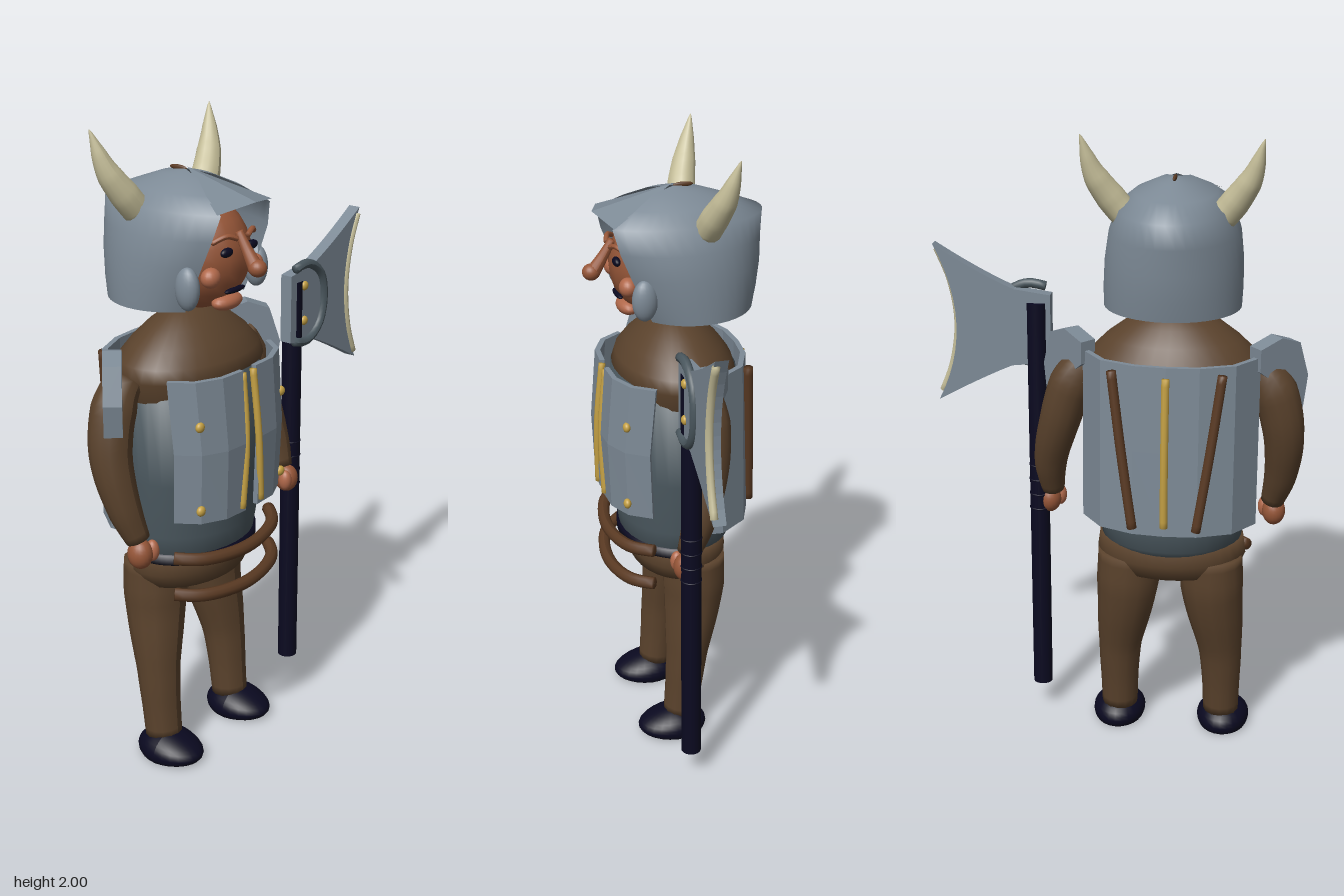
import * as THREE from 'three';

const mat = (name, color, extra = {}) => Object.assign(new THREE.MeshStandardMaterial({ color, ...extra }), { name });
const V = (x, y, z) => new THREE.Vector3(x, y, z);

export function createModel() {
  const model = new THREE.Group();
  model.name = 'axeWarrior';
  const body = new THREE.Group();
  body.name = 'warrior';
  body.position.x = -0.18;
  model.add(body);

  const steel = mat('steel', 0x7d8a96, { side: THREE.DoubleSide });
  const darkSteel = mat('darkSteel', 0x4a575e);
  const cloth = mat('brownCloth', 0x5a422c);
  const leather = mat('leather', 0x5a3a23);
  const skin = mat('skin', 0x965638);
  const rosy = mat('rosySkin', 0xb0684a);
  const horn = mat('horn', 0xc4bd98);
  const gold = mat('gold', 0xc5a144);
  const black = mat('black', 0x0a0920);

  const add = (name, geo, m, parent = body) => {
    const mesh = new THREE.Mesh(geo, m);
    mesh.name = name;
    parent.add(mesh);
    return mesh;
  };
  const ball = (name, m, p, r, parent = body) => {
    const mesh = add(name, new THREE.SphereGeometry(1, 20, 14), m, parent);
    mesh.position.set(...p);
    mesh.scale.set(...r);
    return mesh;
  };
  // Round limb along a curve, radius interpolated along its length, ends closed
  const limb = (name, m, pts, radii, parent = body, n = 24, sides = 14) => {
    const curve = new THREE.CatmullRomCurve3(pts.map((p) => V(...p)));
    const geo = new THREE.TubeGeometry(curve, n, 1, sides);
    const pos = geo.attributes.position, v = V(0, 0, 0);
    for (let i = 0; i < pos.count; i++) {
      const ring = Math.floor(i / (sides + 1));
      const c = curve.getPointAt(ring / n);
      const f = (ring / n) * (radii.length - 1), k = Math.min(Math.floor(f), radii.length - 2);
      const r = ring === 0 || ring === n ? 0.0005 : THREE.MathUtils.lerp(radii[k], radii[k + 1], f - k);
      v.fromBufferAttribute(pos, i).sub(c).multiplyScalar(r);
      // Flat end caps, except on pointed limbs
      if (ring === 0) c.copy(curve.getPointAt(1 / n));
      if (ring === n && radii.at(-1) > 0.01) c.copy(curve.getPointAt(1 - 1 / n));
      v.add(c);
      pos.setXYZ(i, v.x, v.y, v.z);
    }
    geo.computeVertexNormals();
    return add(name, geo, m, parent);
  };
  const tube = (name, m, pts, r, parent) => limb(name, m, pts, [r, r], parent, 24, 10);
  const lathe = (name, m, pts, depth, start = 0, sweep = Math.PI * 2) => {
    const mesh = add(name, new THREE.LatheGeometry(pts.map((p) => new THREE.Vector2(...p)), 32, start, sweep), m);
    mesh.scale.z = depth;
    return mesh;
  };
  const shape = (pts) => new THREE.Shape(pts.map((p) => new THREE.Vector2(...p)));
  // Upright plate bent round the body from [x, z] points; warp(p, t) leans it from bottom (0) to top (1)
  const bentPlate = (outline, y0, y1, warp) => {
    const inner = outline.map(([x, z]) => [x * 0.94, z * 0.93]).reverse();
    const geo = new THREE.ExtrudeGeometry(shape([...outline, ...inner].map(([x, z]) => [x, -z])),
      { depth: y1 - y0, steps: 2, bevelEnabled: false }).rotateX(-Math.PI / 2).translate(0, y0, 0);
    const pos = geo.attributes.position, p = V(0, 0, 0);
    for (let i = 0; i < pos.count; i++) {
      p.fromBufferAttribute(pos, i);
      warp(p, (p.y - y0) / (y1 - y0));
      pos.setXYZ(i, p.x, p.y, p.z);
    }
    geo.computeVertexNormals();
    return geo;
  };

  // Trunk
  lathe('shoulders', cloth, [[0.24, 1.2], [0.272, 1.28], [0.255, 1.32], [0.21, 1.365], [0.15, 1.41], [0.08, 1.45], [0, 1.465]], 0.7);
  lathe('cuirass', darkSteel, [[0, 0.68], [0.19, 0.68], [0.222, 0.71], [0.235, 0.78], [0.24, 0.95], [0.245, 1.28], [0, 1.29]], 0.8);
  lathe('hips', cloth, [[0, 0.56], [0.12, 0.57], [0.21, 0.6], [0.238, 0.65], [0.23, 0.71], [0, 0.72]], 0.68);
  lathe('waistBand', black, [[0.2, 0.685], [0.232, 0.69], [0.232, 0.72], [0.2, 0.725]], 0.8, -1.4, 2.8);
  for (const y of [0.735, 0.615]) {
    tube('beltBar', leather, [[-0.25, y + 0.005, 0.11], [-0.17, y - 0.005, 0.19], [0, y - 0.014, 0.226],
      [0.17, y - 0.005, 0.19], [0.25, y + 0.005, 0.11]], 0.02);
  }

  // Back plate with gold spine; its front edges slope back towards the top
  add('backPlate', bentPlate([[0.265, 0], [0.272, -0.09], [0.205, -0.18], [0.1, -0.222], [0, -0.23],
    [-0.1, -0.222], [-0.205, -0.18], [-0.272, -0.09], [-0.265, 0]], 0.79, 1.33, (p, t) => {
    p.z += p.z > -0.05 ? -0.075 * t : 0.012 * t;
  }), steel);
  tube('backSpine', gold, [[0, 1.32, -0.225], [0, 1.05, -0.238], [0, 0.8, -0.234]], 0.012);

  for (const s of [1, -1]) {
    const side = s > 0 ? 'left' : 'right';
    // Breast plate, bulging at mid height and narrower below
    add(side + 'BreastPlate', bentPlate([[0.03 * s, 0.23], [0.12 * s, 0.225], [0.2 * s, 0.188], [0.248 * s, 0.12]], 0.855, 1.3, (p, t) => {
      p.z += 0.014 * Math.sin(Math.PI * t) + (1 - t) * 0.01;
      p.x *= 0.95 + 0.05 * t;
    }), steel);
    tube(side + 'BreastTrim', gold, [[0.024 * s, 1.31, 0.222], [0.03 * s, 1.08, 0.243], [0.046 * s, 0.85, 0.24]], 0.011);
    for (const [y, z] of [[1.165, 0.2], [0.9, 0.202]]) ball('plateRivet', gold, [0.195 * s, y, z], [0.016, 0.016, 0.012]);
    tube(side + 'BackStrap', leather, [[0.17 * s, 1.33, -0.197], [0.135 * s, 1.06, -0.214], [0.095 * s, 0.79, -0.23]], 0.015);

    // Pauldron: solid slanted slab
    const prof = [[0, 1.36], [0.08, 1.385], [0.15, 1.36], [0.185, 1.25], [0.17, 1.15],
      [0.135, 1.15], [0.1, 1.21], [0.04, 1.26], [0, 1.29]];
    const padGeo = new THREE.ExtrudeGeometry(shape(prof.map(([x, y]) => [x * s, y])), { depth: 0.055, bevelEnabled: false });
    const pad = add(side + 'Pauldron', padGeo.translate(0, 0, -0.0275), steel);
    pad.rotation.y = -0.72 * s;
    pad.position.set(0.255 * s, 0, -0.08);

    // Arm and hand; the left one reaches out to the axe
    const out = s > 0 ? 1 : 0;
    limb(side + 'Arm', cloth, [[0.25 * s, 1.3, -0.02], [0.305 * s, 1.23, -0.025], [(0.345 + 0.01 * out) * s, 1.08, -0.015],
      [(0.34 + 0.055 * out) * s, 0.92, 0.025], [(0.31 + 0.085 * out) * s, 0.79, 0.065]], [0.05, 0.07, 0.067, 0.06, 0.05, 0.034]);
    const hx = out ? 0.408 : 0.32;
    ball(side + 'Hand', skin, [hx * s, 0.77, 0.07], [0.037, 0.047, 0.04]);
    ball(side + 'Thumb', rosy, [(hx - 0.032) * s, 0.775, 0.09], [0.02, 0.034, 0.022]);

    // Leg and shoe
    limb(side + 'Leg', cloth, [[0.13 * s, 0.68, -0.035], [0.138 * s, 0.52, -0.03], [0.165 * s, 0.3, 0], [0.17 * s, 0.04, 0.025]],
      [0.1, 0.102, 0.088, 0.07, 0.062, 0.058]);
    const shoe = new THREE.SphereGeometry(1, 24, 16), sp = shoe.attributes.position;
    for (let i = 0; i < sp.count; i++) {
      const z = sp.getZ(i);
      sp.setY(i, Math.max(sp.getY(i), -0.4) * (1 - 0.35 * Math.max(z, 0)));
    }
    shoe.computeVertexNormals();
    const foot = add(side + 'Shoe', shoe, black);
    foot.scale.set(0.086, 0.062, 0.116);
    foot.position.set(0.175 * s, 0.025, 0.055);

    // Face halves
    ball(side + 'Eye', black, [0.058 * s, 1.655, 0.19], [0.025, 0.014, 0.012]);
    tube(side + 'Brow', skin, [[0.022 * s, 1.69, 0.202], [0.06 * s, 1.702, 0.19], [0.1 * s, 1.685, 0.165]], 0.008);
    ball(side + 'Cheek', rosy, [0.1 * s, 1.585, 0.165], [0.032, 0.03, 0.028]);

    // Helmet horn and cheek guard
    limb(side + 'Horn', horn, [[0.14 * s, 1.75, -0.07], [0.18 * s, 1.8, -0.08], [0.23 * s, 1.88, -0.105], [0.267 * s, 2.0, -0.135]],
      [0.044, 0.044, 0.037, 0.022, 0.002]);
    ball(side + 'CheekGuard', steel, [0.16 * s, 1.56, 0.128], [0.03, 0.065, 0.04]);
  }

  // Head
  ball('head', skin, [0, 1.625, 0.04], [0.145, 0.17, 0.16]);
  limb('nose', skin, [[0, 1.71, 0.185], [0, 1.66, 0.215], [0, 1.6, 0.255]], [0.012, 0.017, 0.024]);
  ball('noseTip', skin, [0, 1.608, 0.256], [0.027, 0.026, 0.028]);
  ball('mouth', black, [0, 1.53, 0.174], [0.046, 0.009, 0.012]);
  ball('chin', rosy, [0, 1.49, 0.145], [0.06, 0.026, 0.034]);

  // Helmet shell, open at the face: [y, half width, half depth, centre z]
  const rows = [[1.48, 0.208, 0.2, -0.05], [1.54, 0.21, 0.222, -0.04], [1.62, 0.208, 0.248, -0.025], [1.7, 0.198, 0.268, -0.008],
    [1.775, 0.172, 0.283, 0], [1.815, 0.125, 0.18, 0], [1.848, 0.055, 0.09, 0], [1.86, 0, 0, -0.01]];
  const open = 0.72, seg = 32, pts = [], idx = [];
  const shellPoint = ([y, rx, rz, cz], a) => [Math.sin(a) * rx, y, cz + Math.cos(a) * rz];
  rows.forEach((row, j) => {
    for (let i = 0; i <= seg; i++) {
      pts.push(...shellPoint(row, open + (i / seg) * 2 * (Math.PI - open)));
      if (i < seg && j < rows.length - 1) {
        const a = j * (seg + 1) + i, b = a + seg + 1;
        idx.push(a, a + 1, b, a + 1, b + 1, b);
      }
    }
  });
  const shell = new THREE.BufferGeometry();
  shell.setAttribute('position', new THREE.Float32BufferAttribute(pts, 3));
  shell.setIndex(idx);
  shell.computeVertexNormals();
  add('helmetShell', shell, steel);

  // Gabled visor: two flat facets meeting on a ridge
  const tip = [0, 1.8, 0.25], apex = [0, 1.866, 0];
  const corner = (s) => [0.127 * s, 1.78, 0.21];
  const visor = new THREE.BufferGeometry();
  visor.setAttribute('position', new THREE.Float32BufferAttribute([...apex, ...tip, ...corner(1), ...apex, ...corner(-1), ...tip], 3));
  visor.computeVertexNormals();
  add('helmetVisor', visor, steel);
  ball('crestSlit', leather, [0, 1.86, -0.035], [0.006, 0.008, 0.032]);

  // Battle axe
  const axe = new THREE.Group();
  axe.name = 'battleAxe';
  model.add(axe);
  add('shaft', new THREE.CylinderGeometry(0.032, 0.032, 1.335, 16), black, axe).position.set(0.26, 0.765, 0.0625);
  for (const y of [0.89, 0.84, 0.79, 0.74]) {
    const wrap = add('gripWrap', new THREE.TorusGeometry(0.031, 0.003, 8, 16).rotateX(Math.PI / 2), black, axe);
    wrap.position.set(0.26, y, 0.0625);
  }
  const blade = shape([[0.215, 1.24], [0.34, 1.225]]);
  blade.quadraticCurveTo(0.44, 1.18, 0.58, 1.1);
  blade.quadraticCurveTo(0.45, 1.35, 0.585, 1.61);
  blade.quadraticCurveTo(0.44, 1.52, 0.33, 1.475);
  blade.lineTo(0.215, 1.46);
  add('blade', new THREE.ExtrudeGeometry(blade, { depth: 0.04, bevelEnabled: false }).translate(0, 0, 0.05), steel, axe);
  tube('cuttingEdge', horn, [[0.582, 1.1, 0.085], [0.537, 1.22, 0.085], [0.519, 1.355, 0.085], [0.539, 1.49, 0.085], [0.587, 1.61, 0.085]], 0.012, axe);
  tube('socketRim', darkSteel, [[0.215, 1.475, 0.09], [0.3, 1.485, 0.09], [0.37, 1.44, 0.09], [0.39, 1.355, 0.09],
    [0.365, 1.27, 0.09], [0.3, 1.23, 0.09], [0.215, 1.245, 0.09]], 0.015, axe);
  for (const y of [1.415, 1.3]) ball('axeRivet', gold, [0.285, y, 0.091], [0.015, 0.015, 0.01], axe);

  return model;
}
